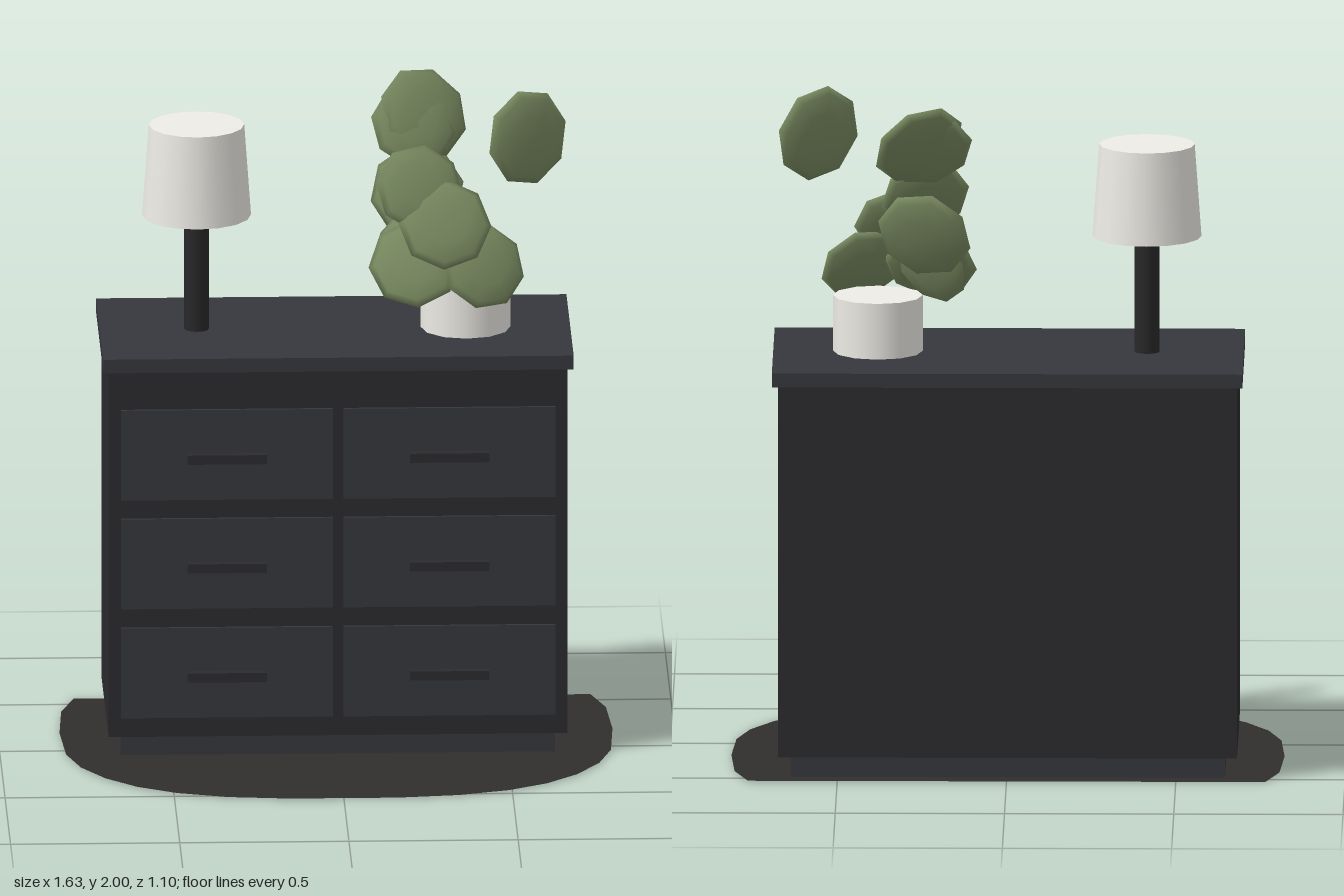
import * as THREE from 'three';

const mat = (color, extra = {}) => new THREE.MeshStandardMaterial({ color, ...extra });

export function createModel() {
  const root = new THREE.Group();
  const dark = mat(0x2b2b2e), panel = mat(0x35373c), stemMat = mat(0x28282a);
  const white = mat(0xeeece6), green = mat(0x77885f);
  const rugMat = mat(0x302f2c, { side: THREE.DoubleSide });

  const add = (name, geometry, material, x, y, z, parent = root) => {
    const mesh = new THREE.Mesh(geometry, material);
    mesh.name = name;
    mesh.position.set(x, y, z);
    parent.add(mesh);
    return mesh;
  };
  // Box given by its width, its y range and its z range
  const box = (name, material, x, w, y0, y1, z0, z1, parent) =>
    add(name, new THREE.BoxGeometry(w, y1 - y0, z1 - z0), material,
      x, (y0 + y1) / 2, (z0 + z1) / 2, parent);

  // Flat rounded rug, cut straight along the back
  const half = [[0.16, 0.545], [0.34, 0.523], [0.49, 0.475], [0.605, 0.405], [0.697, 0.31],
    [0.766, 0.19], [0.805, 0.05], [0.817, -0.18], [0.805, -0.41], [0.764, -0.55]];
  const outline = [...half, ...half.map(([x, z]) => [-x, z]).reverse()];
  const rugShape = new THREE.Shape(outline.map(([x, z]) => new THREE.Vector2(x, -z)));
  add('rug', new THREE.ShapeGeometry(rugShape).rotateX(-Math.PI / 2), rugMat, 0, 0.003, 0);

  // Dresser carcass
  const dresser = new THREE.Group();
  dresser.name = 'dresser';
  root.add(dresser);
  box('plinth', panel, -0.003, 1.284, 0, 0.07, -0.493, 0.062, dresser);
  box('body', dark, -0.003, 1.356, 0.07, 1.19, -0.533, 0.102, dresser);
  box('top', panel, -0.002, 1.39, 1.19, 1.232, -0.55, 0.112, dresser);

  // Two columns of three drawers, each with a bar handle
  for (const side of [-1, 1]) {
    for (const y of [0.268, 0.603, 0.937]) {
      const x = side * 0.329 - 0.003;
      box('drawerFront', panel, x, 0.626, y - 0.138, y + 0.138, 0.09, 0.112, dresser);
      box('drawerHandle', dark, x, 0.234, y - 0.022, y + 0.006, 0.112, 0.14, dresser);
    }
  }

  // Table lamp
  const lamp = new THREE.Group();
  lamp.name = 'lamp';
  lamp.position.set(-0.411, 0, -0.217);
  root.add(lamp);
  add('lampStem', new THREE.CylinderGeometry(0.037, 0.037, 0.37, 12), stemMat, 0, 1.415, 0, lamp);
  add('lampShade', new THREE.CylinderGeometry(0.141, 0.161, 0.277, 16), white, 0, 1.72, 0, lamp);

  // Potted plant
  const plant = new THREE.Group();
  plant.name = 'plant';
  root.add(plant);
  add('pot', new THREE.CylinderGeometry(0.133, 0.133, 0.168, 12), white, 0.384, 1.316, -0.214, plant);

  // Leaves: thin lenses with centre, facing direction and radius
  const lens = new THREE.SphereGeometry(1, 8, 6);
  const up = new THREE.Vector3(0, 1, 0);
  const leaves = [
    [[0.562, 1.855, -0.06], [0.57, 0.1, 0.81], 0.145],
    [[0.262, 1.868, -0.285], [0.42, 0.5, 0.76], 0.143],
    [[0.23, 1.84, -0.25], [0.25, 0.5, 0.83], 0.13],
    [[0.245, 1.61, -0.348], [-0.25, 0.35, 0.9], 0.143],
    [[0.245, 1.68, -0.13], [0.2, 0.45, 0.87], 0.133],
    [[0.318, 1.585, -0.075], [0.05, 0.5, 0.86], 0.138],
    [[0.23, 1.465, -0.08], [-0.1, 0.55, 0.82], 0.138],
    [[0.43, 1.46, -0.06], [0.3, 0.45, 0.84], 0.13],
    [[0.225, 1.48, -0.2], [-0.5, 0.35, 0.79], 0.118],
  ];
  for (const [p, n, r] of leaves) {
    const leaf = add('leaf', lens, green, ...p, plant);
    leaf.scale.set(r, r * 0.25, r);
    leaf.quaternion.setFromUnitVectors(up, new THREE.Vector3(...n).normalize());
  }
  return root;
}
